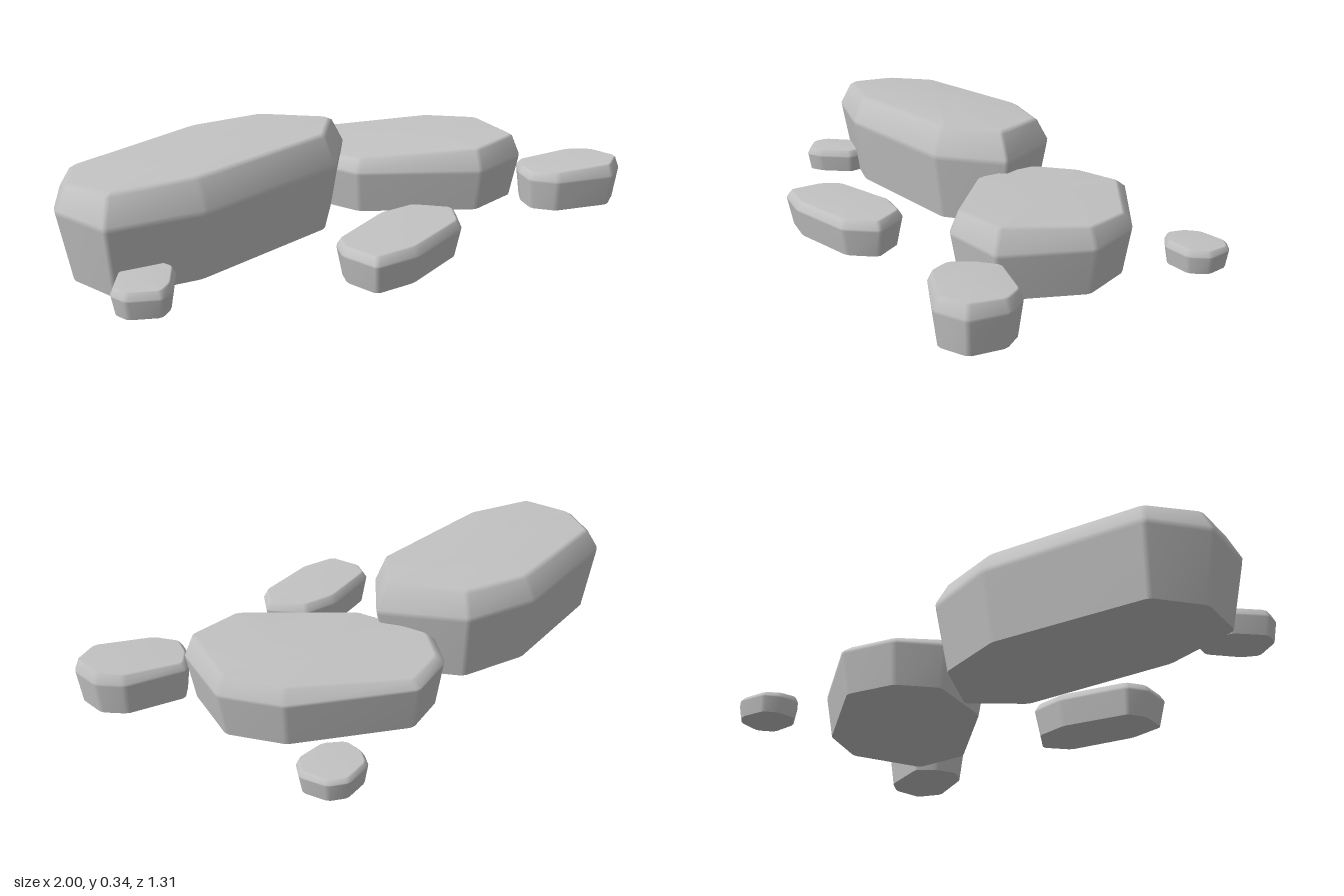
import * as THREE from 'three';

// Outline [x, z] at the widest height, tilted top plane h + sx*(x-cx) + sz*(z-cz)
const ROCKS = [
  { name: 'largeSlab', base: 0.04, shoulder: 0.235, bevel: 0.042, h: 0.326, sx: 0.025, sz: 0.05,
    outline: [[-0.93, -0.07], [-0.43, -0.29], [-0.15, -0.29], [0.07, -0.07], [-0.07, 0.15], [-0.6, 0.34], [-0.91, 0.34], [-1, 0.13]] },
  { name: 'mediumSlab', base: 0.025, shoulder: 0.15, bevel: 0.028, h: 0.2, sx: 0.045, sz: 0.065,
    outline: [[0, -0.36], [0.17, -0.46], [0.57, -0.32], [0.71, -0.15], [0.68, 0.15], [0.46, 0.23], [0.07, 0.05], [-0.07, -0.2]] },
  { name: 'frontStone', base: 0.018, shoulder: 0.095, bevel: 0.016, h: 0.124, sx: 0.01, sz: 0.01,
    outline: [[-0.22, 0.45], [0, 0.325], [0.13, 0.31], [0.24, 0.405], [0.19, 0.52], [-0.04, 0.637], [-0.19, 0.654], [-0.24, 0.53]] },
  { name: 'sideStone', base: 0.014, shoulder: 0.11, bevel: 0.015, h: 0.143, sx: 0.05, sz: 0.05,
    outline: [[0.69, 0.125], [0.9, 0.135], [0.975, 0.195], [0.997, 0.32], [0.91, 0.392], [0.7, 0.357], [0.63, 0.29], [0.645, 0.2]] },
  { name: 'backPebble', base: 0.01, shoulder: 0.058, bevel: 0.01, h: 0.077, sx: 0, sz: 0.07,
    outline: [[0.46, -0.615], [0.55, -0.657], [0.61, -0.637], [0.653, -0.555], [0.627, -0.49], [0.525, -0.46], [0.455, -0.49], [0.44, -0.56]] },
  { name: 'frontPebble', base: 0.01, shoulder: 0.062, bevel: 0.011, h: 0.087, sx: 0, sz: 0,
    outline: [[-0.87, 0.3], [-0.74, 0.28], [-0.707, 0.345], [-0.755, 0.457], [-0.8, 0.5], [-0.9, 0.467], [-0.925, 0.41]] },
];

// Move every edge of the outline inward by d
function inset(points, d) {
  const n = points.length;
  const normal = (a, b) => {
    const ex = b[0] - a[0], ez = b[1] - a[1], l = Math.hypot(ex, ez);
    return [-ez / l, ex / l];
  };
  return points.map((p, i) => {
    const u = normal(points[(i + n - 1) % n], p), v = normal(p, points[(i + 1) % n]);
    const k = d / (1 + u[0] * v[0] + u[1] * v[1]);
    return [p[0] + (u[0] + v[0]) * k, p[1] + (u[1] + v[1]) * k];
  });
}

// Cut every corner slightly so the upright edges shade as soft narrow bevels
function cutCorners(points) {
  const n = points.length;
  const towards = (p, q) => {
    const l = Math.hypot(q[0] - p[0], q[1] - p[1]);
    const t = Math.min(0.01, l * 0.12) / l;
    return [p[0] + (q[0] - p[0]) * t, p[1] + (q[1] - p[1]) * t];
  };
  return points.flatMap((p, i) => [towards(p, points[(i + n - 1) % n]), towards(p, points[(i + 1) % n])]);
}

function rockGeometry({ outline, base, shoulder, bevel, h, sx, sz }) {
  const cx = outline.reduce((s, p) => s + p[0], 0) / outline.length;
  const cz = outline.reduce((s, p) => s + p[1], 0) / outline.length;
  const top = (x, z) => h + sx * (x - cx) + sz * (z - cz);

  // Rings from the ground up: [inset, share of shoulder height, share of the way to the top]
  const rings = [
    [base, 0, 0],
    [base * 0.06, 0.94, 0],
    [0, 1, 0.06],
    [bevel * 0.85, 1, 0.88],
    [bevel * 1.25, 1, 1],
  ].map(([d, low, high]) => cutCorners(inset(outline, d - 0.003)).map(([x, z]) => {
    const y = shoulder * low;
    return [x, y + (top(x, z) - y) * high, z];
  }));

  // The first ring is repeated at the end so the underside keeps a sharp rim
  const n = rings[0].length;
  const count = rings.length;
  const rim = n * count, topCentre = rim + n, baseCentre = topCentre + 1;
  const positions = [...rings.flat(2), ...rings[0].flat(), cx, h, cz, cx, 0, cz];
  const index = [];
  for (let i = 0; i < n; i++) {
    const j = (i + 1) % n;
    for (let r = 0; r < count - 1; r++) {
      const a = r * n, b = a + n;
      index.push(a + j, a + i, b + i, a + j, b + i, b + j);
    }
    index.push(topCentre, rim - n + j, rim - n + i);
    index.push(baseCentre, rim + i, rim + j);
  }
  const geometry = new THREE.BufferGeometry();
  geometry.setAttribute('position', new THREE.Float32BufferAttribute(positions, 3));
  geometry.setIndex(index);
  geometry.computeVertexNormals();
  return geometry;
}

export function createModel() {
  const group = new THREE.Group();
  group.name = 'flatRocks';
  const stone = new THREE.MeshStandardMaterial({ color: 0xc3c3c3 });
  stone.name = 'greyStone';
  for (const rock of ROCKS) {
    const mesh = new THREE.Mesh(rockGeometry(rock), stone);
    mesh.name = rock.name;
    group.add(mesh);
  }
  return group;
}
